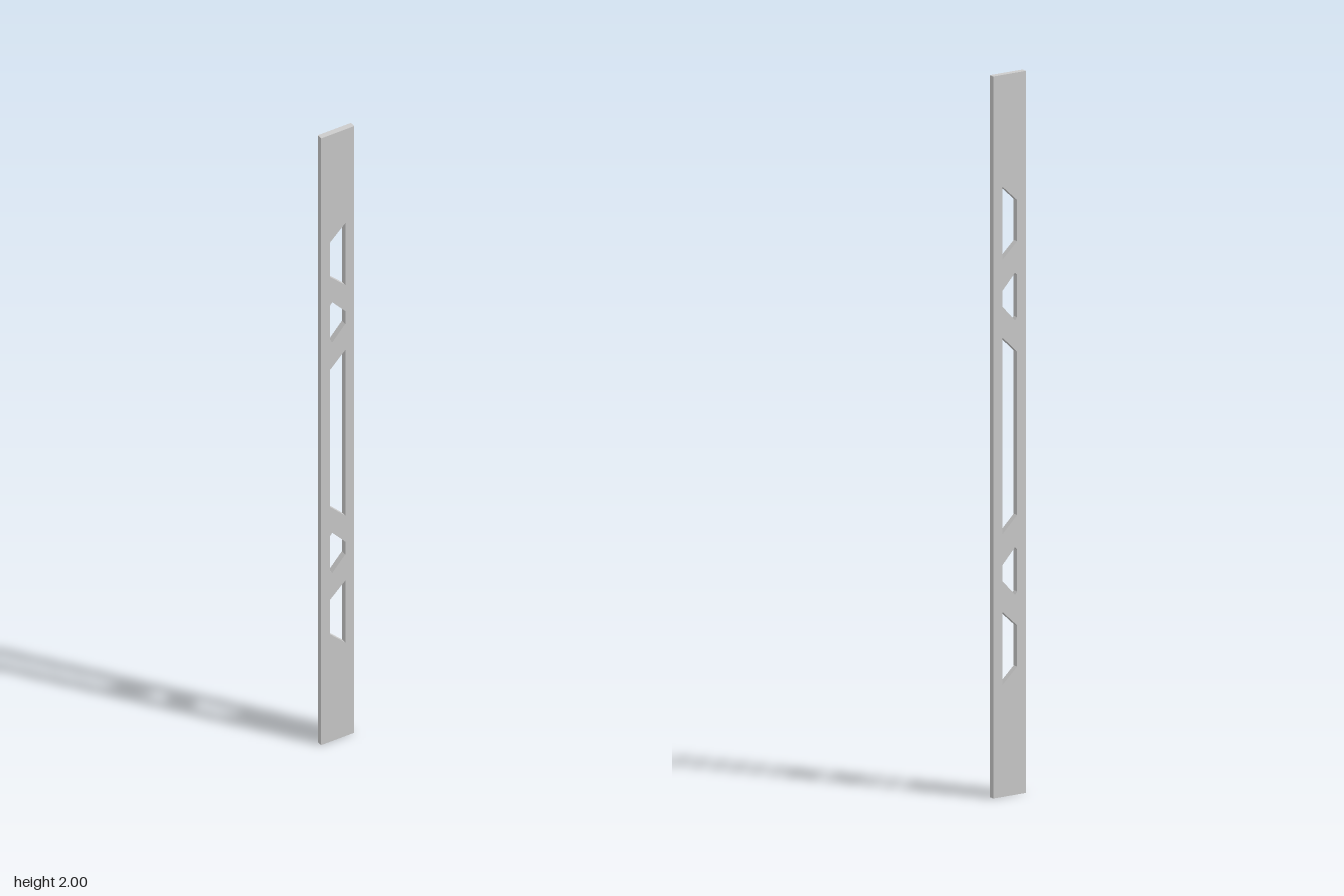
import * as THREE from 'three';

const WIDTH = 0.105, HEIGHT = 2, DEPTH = 0.017, HOLE = 0.024;

// Closed path from the upper half of an outline, mirrored about y = cy
function mirroredPath(upper, cy) {
  const lower = upper.map(([x, y]) => [x, -y]).reverse();
  return new THREE.Path([...upper, ...lower].map(([x, y]) => new THREE.Vector2(x, cy + y)));
}

// Trapezoid slot, longer on the +x side
const slot = (cy, longHalf, shortHalf) =>
  mirroredPath([[-HOLE, shortHalf], [HOLE, longHalf]], cy);

// Small slot, longer on the -x side with clipped tips
const smallSlot = (cy) =>
  mirroredPath([[-HOLE, 0.058], [-0.017, 0.066], [HOLE, 0.021]], cy);

export function createModel() {
  const group = new THREE.Group();
  group.name = 'slottedStrip';

  // Flat strip outline
  const w = WIDTH / 2;
  const outline = new THREE.Shape([
    new THREE.Vector2(-w, 0), new THREE.Vector2(w, 0),
    new THREE.Vector2(w, HEIGHT), new THREE.Vector2(-w, HEIGHT),
  ]);

  // Slots: one long in the middle, pairs above and below
  outline.holes.push(slot(1, 0.273, 0.226));
  for (const side of [-1, 1]) {
    outline.holes.push(smallSlot(1 + side * 0.38));
    outline.holes.push(slot(1 + side * 0.589, 0.102, 0.057));
  }

  const geometry = new THREE.ExtrudeGeometry(outline, { depth: DEPTH, bevelEnabled: false });
  geometry.translate(0, 0, -DEPTH / 2);
  const plate = new THREE.Mesh(geometry, new THREE.MeshStandardMaterial({ color: 0xcccccc }));
  plate.name = 'slottedPlate';
  group.add(plate);
  return group;
}
